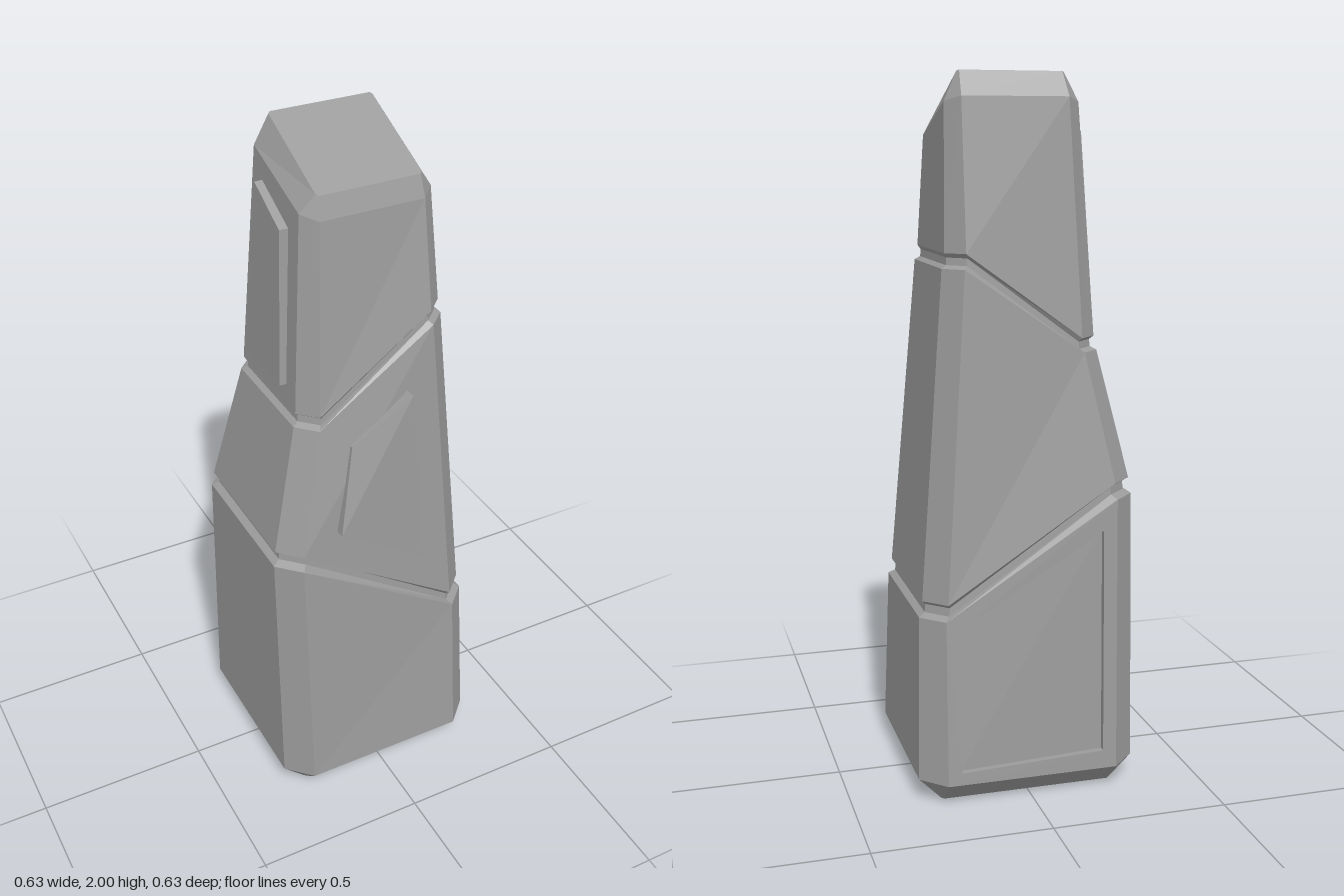
import * as THREE from 'three';

const material = new THREE.MeshStandardMaterial({ color: 0x9b9b9b, flatShading: true });

// Chamfered rectangle, counterclockwise from above; y is a rule of (x, z)
function ring(xl, xr, zb, zf, c, y) {
  return [
    [xl + c, zf], [xr - c, zf], [xr, zf - c], [xr, zb + c],
    [xr - c, zb], [xl + c, zb], [xl, zb + c], [xl, zf - c],
  ].map(([x, z]) => new THREE.Vector3(x, y(x, z), z));
}

// Slanted height: yl at the -x end, yr at the +x end, level over the chamfers
const slant = (yl, yr, w) => (x) =>
  THREE.MathUtils.lerp(yl, yr, THREE.MathUtils.clamp((x + w) / (2 * w), 0, 1));

const quad = (out, a, b, c, d) => out.push(a, b, c, a, c, d);

function loft(out, rings, skip = () => false) {
  for (let r = 0; r < rings.length - 1; r++)
    for (let i = 0; i < 8; i++) {
      if (skip(r, i)) continue;
      const j = (i + 1) % 8;
      quad(out, rings[r][i], rings[r][j], rings[r + 1][j], rings[r + 1][i]);
    }
}

function cap(out, pts, up) {
  for (let i = 1; i < pts.length - 1; i++)
    out.push(pts[0], up ? pts[i] : pts[i + 1], up ? pts[i + 1] : pts[i]);
}

function mesh(name, points) {
  const geometry = new THREE.BufferGeometry().setFromPoints(points);
  geometry.computeVertexNormals();
  const m = new THREE.Mesh(geometry, material);
  m.name = name;
  return m;
}

// Raised plate: corners counterclockwise from outside, pushed out along dir
function plate(name, corners, dir, height) {
  const out = [];
  const base = corners.map((p) => new THREE.Vector3(...p).addScaledVector(dir, -0.02));
  const top = corners.map((p) => new THREE.Vector3(...p).addScaledVector(dir, height));
  for (let i = 0; i < 4; i++) {
    const j = (i + 1) % 4;
    quad(out, base[i], base[j], top[j], top[i]);
  }
  quad(out, ...top);
  return mesh(name, out);
}

export function createModel() {
  const group = new THREE.Group();

  // Lower block: bevelled foot, slanted top edge and start of the groove
  const foot = ring(-0.25, 0.25, -0.25, 0.25, 0.008, () => 0);
  const footEdge = ring(-0.315, 0.314, -0.315, 0.315, 0.069, () => 0.065);
  const lowTop = ring(-0.313, 0.302, -0.28, 0.277, 0.062, slant(0.842, 0.53, 0.225));
  const lowGroove = ring(-0.293, 0.284, -0.262, 0.259, 0.056, slant(0.853, 0.541, 0.225));
  const lowGrooveTop = ring(-0.291, 0.282, -0.26, 0.257, 0.056, slant(0.876, 0.564, 0.225));
  const lower = [];
  cap(lower, foot, false);
  loft(lower, [foot, footEdge, lowTop, lowGroove, lowGrooveTop], (r, i) => r === 1 && i === 4);

  // Recessed panel in the back face of the lower block
  const face = [footEdge[4], footEdge[5], lowTop[5], lowTop[4]];
  const at = (u, v) => face[0].clone().lerp(face[1], u).lerp(face[3].clone().lerp(face[2], u), v);
  const rim = [at(0.08, 0.07), at(0.92, 0.07), at(0.92, 0.92), at(0.08, 0.9)];
  const floor = rim.map((p) => p.clone().add(new THREE.Vector3(0, 0, 0.018)));
  for (let i = 0; i < 4; i++) {
    const j = (i + 1) % 4;
    quad(lower, face[i], face[j], rim[j], rim[i]);
    quad(lower, rim[i], rim[j], floor[j], floor[i]);
  }
  quad(lower, ...floor);
  group.add(mesh('lowerBlock', lower));

  // Middle block: its lower edge falls towards +x, its upper edge rises
  const midBottom = ring(-0.306, 0.292, -0.273, 0.27, 0.06, slant(0.887, 0.575, 0.225));
  const midTop = ring(-0.221, 0.219, -0.221, 0.217, 0.051, slant(1.248, 1.482, 0.155));
  const midGroove = ring(-0.205, 0.205, -0.207, 0.203, 0.046, slant(1.257, 1.491, 0.155));
  const midGrooveTop = ring(-0.203, 0.203, -0.205, 0.201, 0.046, slant(1.277, 1.511, 0.155));
  const middle = [];
  loft(middle, [lowGrooveTop, midBottom, midTop, midGroove, midGrooveTop]);
  group.add(mesh('middleBlock', middle));

  // Upper block: bevelled shoulder and a top sloping down to the front
  const topBottom = ring(-0.214, 0.211, -0.214, 0.212, 0.049, slant(1.287, 1.523, 0.155));
  const shoulder = ring(-0.174, 0.2, -0.17, 0.16, 0.038, (x, z) => 1.875 - 0.34 * z);
  const crown = ring(-0.134, 0.164, -0.132, 0.141, 0.006, (x, z) => 1.942 - 0.44 * z);
  const upper = [];
  loft(upper, [midGrooveTop, topBottom, shoulder, crown]);
  cap(upper, crown, true);
  group.add(mesh('upperBlock', upper));

  // Raised plates on the front of the middle block and the side of the upper block
  group.add(plate('frontPlate',
    [[-0.141, 0.938, 0.266], [0.125, 0.765, 0.258], [0.087, 1.31, 0.237], [-0.088, 1.19, 0.222]],
    new THREE.Vector3(0, 0, 1), 0.025));
  group.add(plate('sidePlate',
    [[-0.208, 1.345, -0.107], [-0.208, 1.345, 0.103], [-0.183, 1.775, 0.07], [-0.179, 1.845, -0.08]],
    new THREE.Vector3(-1, 0, 0), 0.021));

  return group;
}
